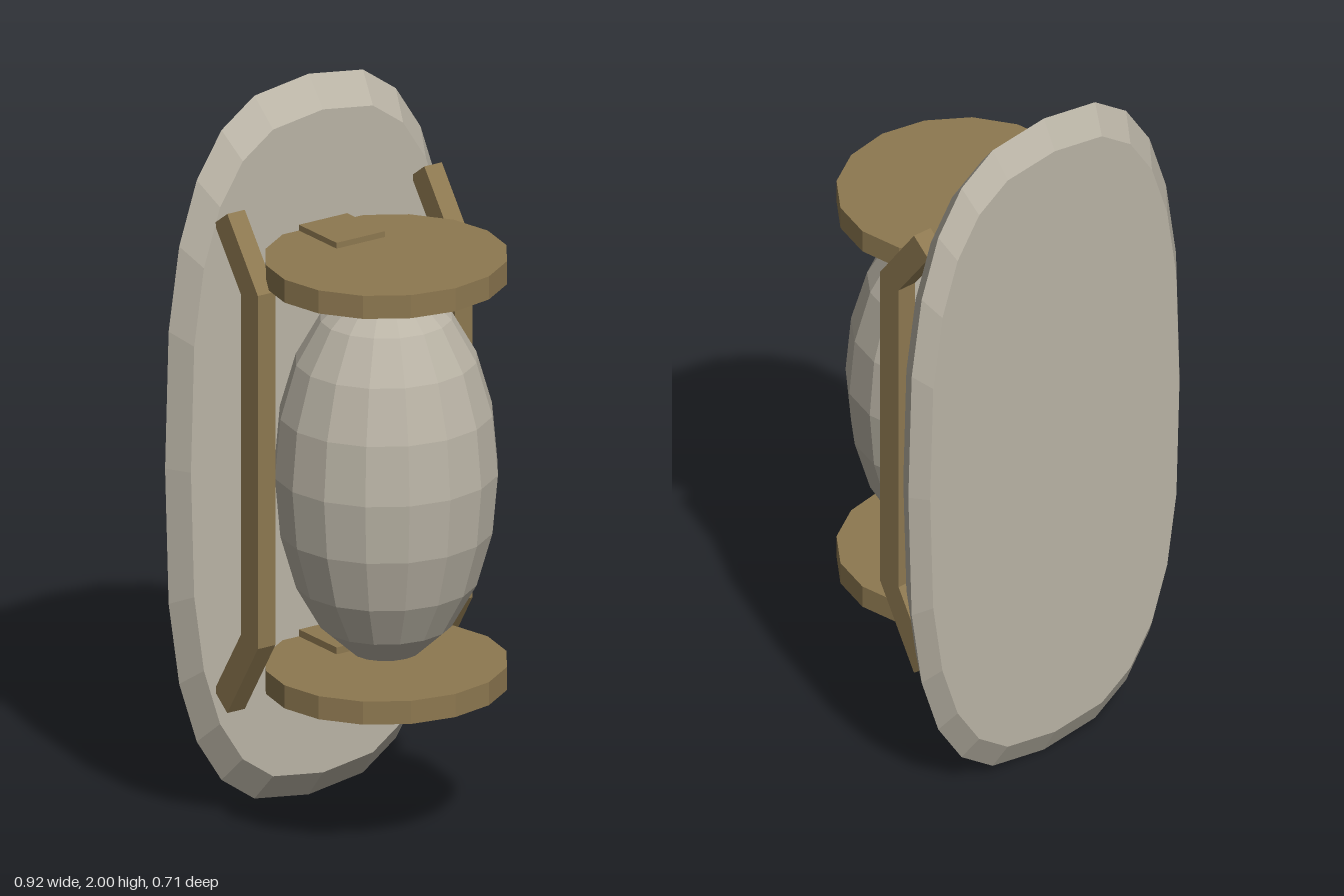
import * as THREE from 'three';

export function createModel() {
  const group = new THREE.Group();
  const stone = new THREE.MeshStandardMaterial({ name: 'paleStone', color: 0xbab4a6, flatShading: true });
  const wood = new THREE.MeshStandardMaterial({ name: 'brownFrame', color: 0x8d7850, flatShading: true });

  function add(name, geometry, material, x, y, z) {
    const mesh = new THREE.Mesh(geometry, material);
    mesh.name = name;
    mesh.position.set(x, y, z);
    group.add(mesh);
    return mesh;
  }

  // Back board: bevelled disc squared off into a tall superellipse
  const profile = [[0, -0.045], [0.92, -0.045], [1, 0], [0.92, 0.065], [0, 0.065]];
  const board = new THREE.LatheGeometry(profile.map(([r, h]) => new THREE.Vector2(r, h)), 24);
  board.rotateX(Math.PI / 2);
  const pos = board.attributes.position;
  const square = (v, r) => (r < 1e-6 ? 0 : Math.sign(v) * r * Math.pow(Math.abs(v) / r, 0.72));
  for (let i = 0; i < pos.count; i++) {
    const x = pos.getX(i), y = pos.getY(i), r = Math.hypot(x, y);
    pos.setXY(i, 0.459 * square(x, r), square(y, r));
  }
  board.computeVertexNormals();
  add('backBoard', board, stone, 0, 1, -0.31);

  // Egg-shaped body
  const egg = new THREE.SphereGeometry(1, 16, 10);
  egg.scale(0.3, 0.525, 0.29);
  add('eggBody', egg, stone, 0, 1.005, 0.04);

  // Round end plates, each with a bracket block to the board
  for (const [side, plateY, blockY] of [['upper', 1.568, 1.566], ['lower', 0.442, 0.443]]) {
    const plate = new THREE.CylinderGeometry(1, 1, 0.064, 16);
    plate.scale(0.325, 1, 0.312);
    add(side + 'Plate', plate, wood, 0, plateY, 0.04);
    add(side + 'Bracket', new THREE.BoxGeometry(0.154, 0.1, 0.2), wood, 0, blockY, -0.175);
  }

  // Side rails bent back to the board at both ends, drawn as (z, y)
  const outline = [
    [-0.055, 0.55], [-0.055, 1.53], [-0.193, 1.717], [-0.252, 1.674],
    [-0.13, 1.51], [-0.13, 0.57], [-0.252, 0.378], [-0.193, 0.332],
  ];
  const rail = new THREE.ExtrudeGeometry(
    new THREE.Shape(outline.map(([z, y]) => new THREE.Vector2(z, y))),
    { depth: 0.056, bevelEnabled: false });
  rail.translate(0, 0, -0.028);
  rail.rotateY(-Math.PI / 2);
  for (const s of [-1, 1]) add(s > 0 ? 'leftRail' : 'rightRail', rail, wood, s * 0.315, 0, 0);

  return group;
}
